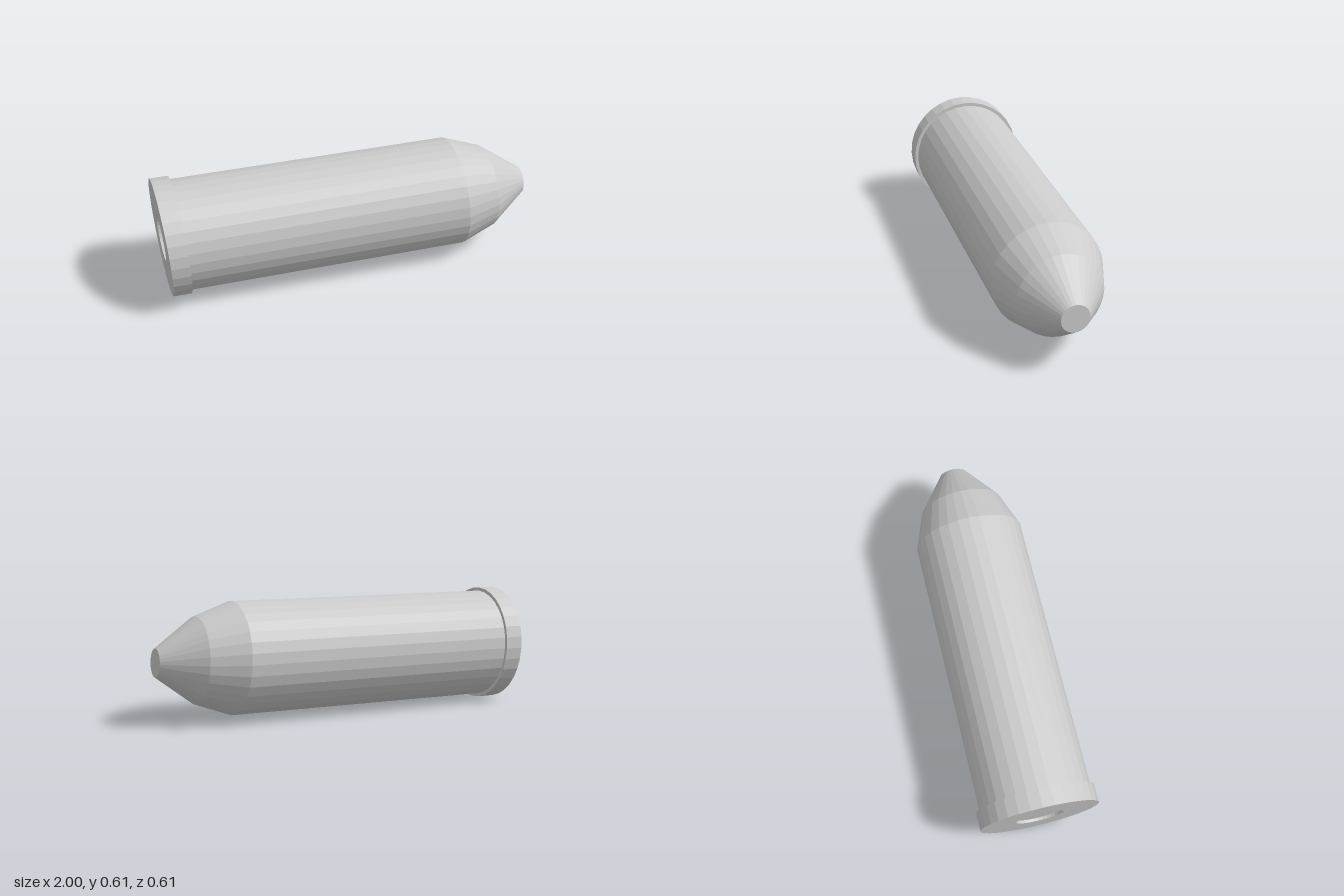
import * as THREE from 'three';

const SIDES = 32;
const LEAN = 0.057;   // end faces lean back towards the top
const RISE = 0.0055;  // the axis climbs slightly towards the tip
const AXIS_Y = 0.3127;

// Turn a profile of [x along axis, radius] into a skewed, faceted solid along x
function turned(name, profile) {
  const points = profile.map(([x, r]) => new THREE.Vector2(r, x));
  const geometry = new THREE.LatheGeometry(points, SIDES);
  geometry.rotateZ(-Math.PI / 2);
  const p = geometry.attributes.position;
  for (let i = 0; i < p.count; i++) {
    const x = p.getX(i), y = p.getY(i);
    p.setXY(i, x - LEAN * y, AXIS_Y + y + RISE * x);
  }
  geometry.computeVertexNormals();
  const material = new THREE.MeshStandardMaterial({ color: 0xcccccc, flatShading: true });
  const mesh = new THREE.Mesh(geometry, material);
  mesh.name = name;
  return mesh;
}

export function createModel() {
  const group = new THREE.Group();
  group.name = 'cartridge';
  group.add(
    // Shallow round recess in the base
    turned('primer', [[-0.967, 0], [-0.967, 0.12], [-0.982, 0.122]]),
    // Raised band around the base
    turned('rim', [[-0.982, 0.122], [-0.982, 0.307], [-0.887, 0.307], [-0.887, 0.289]]),
    // Long straight barrel
    turned('casing', [[-0.887, 0.289], [0.598, 0.29]]),
    // Two-step taper with a flat end
    turned('tip', [[0.598, 0.29], [0.79, 0.2215], [0.996, 0.0725], [0.996, 0]]),
  );
  return group;
}
